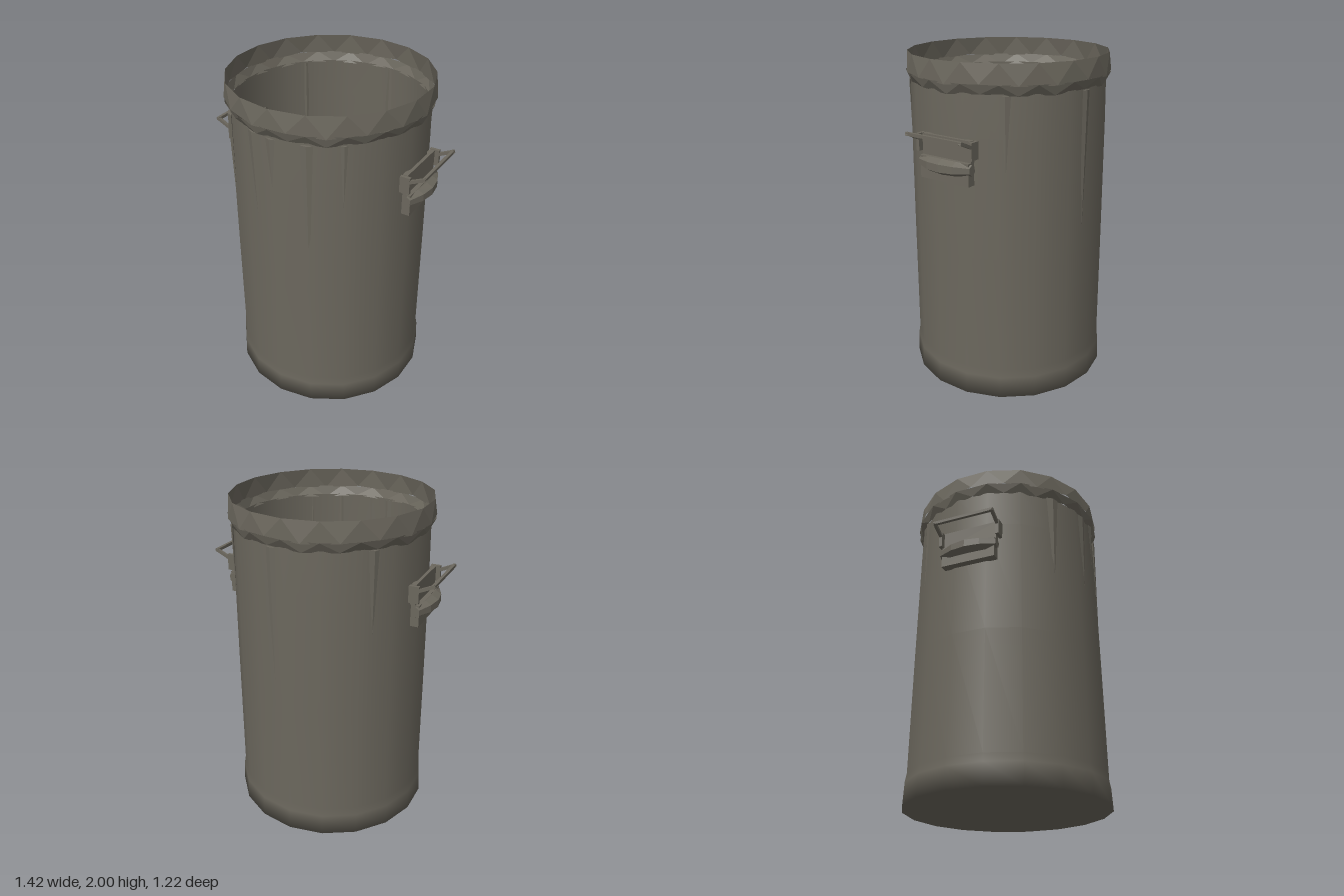
import * as THREE from 'three';

const SIDES = 18;

// Bar of square section between two points
function bar(a, b, t, material) {
  const from = new THREE.Vector3(...a), to = new THREE.Vector3(...b);
  const mesh = new THREE.Mesh(new THREE.BoxGeometry(t, t, from.distanceTo(to) + t), material);
  mesh.position.copy(from).add(to).multiplyScalar(0.5);
  mesh.lookAt(to);
  return mesh;
}

// Crumpled ring: the vertices of the two edges are staggered by half a step
function crumpledBand(y0, r0, y1, r1) {
  const pos = [];
  const point = (i, r, y, wobble) => {
    const a = i * Math.PI * 2 / SIDES;
    const yy = y + wobble * Math.sin(i * 2.3 + 1);
    return [Math.sin(a) * r, yy, Math.cos(a) * r];
  };
  const low = (i) => point((i % SIDES) + 0.5, r0, y0, 0.008);
  const high = (i) => point(i % SIDES, r1, y1, 0);
  for (let i = 0; i < SIDES; i++) {
    pos.push(...low(i), ...high(i + 1), ...high(i));
    pos.push(...low(i), ...low(i + 1), ...high(i + 1));
  }
  const g = new THREE.BufferGeometry();
  g.setAttribute('position', new THREE.Float32BufferAttribute(pos, 3));
  g.computeVertexNormals();
  return g;
}

// Handle facing +x: backing plate, bowed lip, side ears and a tilted bail
function createHandle(material) {
  const handle = new THREE.Group();
  const box = (name, w, h, d, x, y, z) => {
    const m = new THREE.Mesh(new THREE.BoxGeometry(w, h, d), material);
    m.name = name;
    m.position.set(x, y, z);
    handle.add(m);
  };
  box('handlePlate', 0.05, 0.13, 0.34, 0.595, 1.405, 0);
  box('handleBack', 0.03, 0.12, 0.34, 0.58, 1.53, 0);
  for (const s of [-1, 1]) box('handleEar', 0.06, 0.1, 0.02, 0.59, 1.54, s * 0.185);

  // Lip bows outward in the middle and thins at both ends
  const lipGeo = new THREE.CylinderGeometry(0.045, 0.045, 0.36, 6, 4);
  lipGeo.rotateX(Math.PI / 2);
  const p = lipGeo.attributes.position;
  for (let i = 0; i < p.count; i++) {
    const k = 1 - (p.getZ(i) / 0.18) ** 2;
    p.setX(i, p.getX(i) * (0.6 + 0.4 * k) + 0.6 + 0.036 * k);
    p.setY(i, p.getY(i) * (0.7 + 0.3 * k) + 1.432);
  }
  const lip = new THREE.Mesh(lipGeo, material);
  lip.name = 'handleLip';
  handle.add(lip);

  const bail = new THREE.Group();
  bail.name = 'handleBail';
  for (const s of [-1, 1]) bail.add(bar([0.585, 1.55, s * 0.185], [0.698, 1.603, s * 0.185], 0.018, material));
  bail.add(bar([0.698, 1.603, -0.185], [0.698, 1.603, 0.185], 0.018, material));
  handle.add(bail);
  return handle;
}

export function createModel() {
  const model = new THREE.Group();
  const metal = new THREE.MeshStandardMaterial({ color: 0x6b675d, side: THREE.DoubleSide });
  const facetedMetal = metal.clone();
  facetedMetal.flatShading = true;
  metal.name = 'dull metal';
  facetedMetal.name = 'dull metal faceted';

  // Floor, flared base and slightly tapered wall in one turned skin
  const profile = [[0, 0.004], [0.612, 0], [0.606, 0.13], [0.597, 0.18], [0.592, 0.9], [0.585, 1.6], [0.58, 1.84]];
  const body = new THREE.Mesh(
    new THREE.LatheGeometry(profile.map(([r, y]) => new THREE.Vector2(r, y)), SIDES), metal);
  body.name = 'body';
  model.add(body);

  // Crumpled rim folded out and back in
  const rim = new THREE.Group();
  rim.name = 'rim';
  rim.add(new THREE.Mesh(crumpledBand(1.83, 0.58, 1.89, 0.606), facetedMetal));
  rim.add(new THREE.Mesh(crumpledBand(1.885, 0.604, 2, 0.594), facetedMetal));
  model.add(rim);

  // Shallow creases running down from the rim: angle, lowest point, half width
  const creases = [
    [0.68, 1.42, 0.02], [0.35, 0.9, 0.035], [-0.22, 1.22, 0.04], [-0.69, 1.18, 0.04],
    [0, 1.53, 0.03], [2.15, 1.35, 0.03], [3.0, 0.12, 0.03], [-2.3, 1.25, 0.03]
  ];
  for (const [angle, bottom, width] of creases) {
    const length = 1.83 - bottom;
    const geo = new THREE.ConeGeometry(width, length, 4);
    geo.rotateX(Math.PI);
    geo.scale(1, 1, 0.3);
    const crease = new THREE.Mesh(geo, facetedMetal);
    crease.name = 'crease';
    const facet = Math.PI * 2 / SIDES;
    const off = angle - Math.floor(angle / facet) * facet - facet / 2;
    const r = 0.586 * Math.cos(facet / 2) / Math.cos(off);
    crease.position.set(Math.sin(angle) * r, (1.83 + bottom) / 2, Math.cos(angle) * r);
    crease.rotation.y = angle;
    model.add(crease);
  }

  // Two matching handles
  const left = createHandle(facetedMetal);
  left.name = 'leftHandle';
  const right = createHandle(facetedMetal);
  right.name = 'rightHandle';
  right.rotation.y = Math.PI;
  model.add(left, right);

  return model;
}
